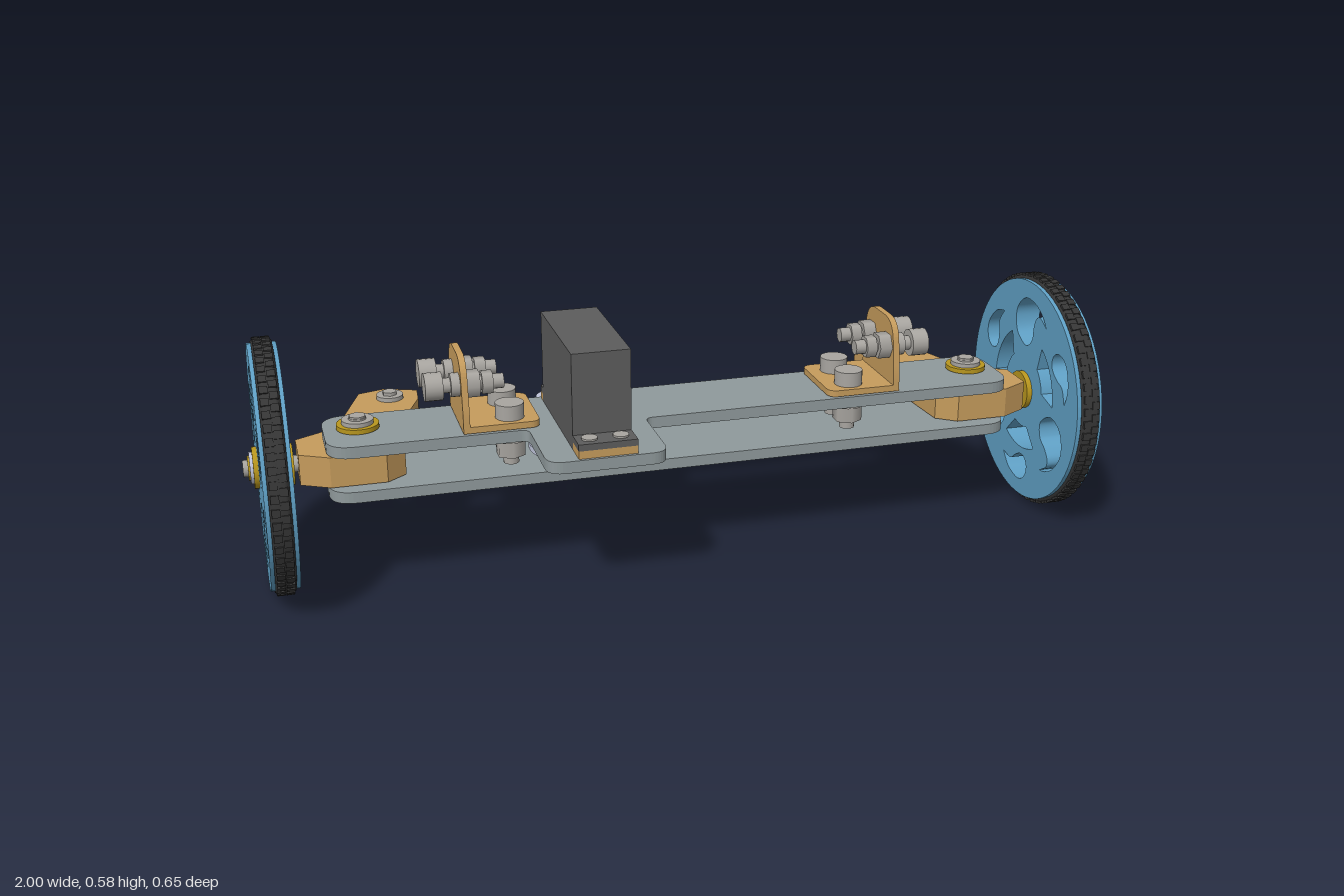
import * as THREE from 'three';
import { mergeGeometries } from 'three/addons/utils/BufferGeometryUtils.js';

const mat = (color) => new THREE.MeshStandardMaterial({ color, roughness: 0.7 });
const PLATE = mat(0x8f999b), STEEL = mat(0xa8a5a0), BLUE = mat(0x5f9fc4), GOLD = mat(0xb8961e);
const TAN = mat(0xc59b5c), DARK = mat(0x5c5c5c), RUBBER = mat(0x363636), PALE = mat(0xbfc4da);
const V = (x, y) => new THREE.Vector2(x, y);

function add(parent, name, geometry, material) {
  const m = new THREE.Mesh(geometry, material);
  m.name = name;
  parent.add(m);
  return m;
}

const extrude = (shape, depth) =>
  new THREE.ExtrudeGeometry(shape, { depth, bevelEnabled: false, curveSegments: 10 });

// Horizontal sheet from a plan drawn in (x, -z), between heights y0 and y1
const sheet = (shape, y0, y1) => extrude(shape, y1 - y0).rotateX(-Math.PI / 2).translate(0, y0, 0);

// Closed outline with rounded corners; each corner is [x, y, radius]
function rounded(corners) {
  const s = new THREE.Shape(), n = corners.length;
  corners.forEach(([x, y, r], i) => {
    const c = V(x, y);
    const p = corners[(i + n - 1) % n], q = corners[(i + 1) % n];
    const a = V(p[0], p[1]).sub(c).setLength(r).add(c);
    const b = V(q[0], q[1]).sub(c).setLength(r).add(c);
    if (i) s.lineTo(a.x, a.y); else s.moveTo(a.x, a.y);
    if (r) s.quadraticCurveTo(x, y, b.x, b.y);
  });
  s.closePath();
  return s;
}

// Turned parts stacked along y; each piece is [radius, from, to, sides, material]
function stack(parent, name, pieces) {
  const g = new THREE.Group();
  g.name = name;
  for (const [r, a, b, sides, material] of pieces)
    add(g, name + 'Piece', new THREE.CylinderGeometry(r, r, b - a, sides).translate(0, (a + b) / 2, 0), material);
  parent.add(g);
  return g;
}

// Wheel cut-outs, in (tangential, radial) coordinates
const LARGE = [[.093, .186], [.07, .21], [.03, .23], [-.02, .232], [-.055, .205], [-.064, .173],
  [-.05, .135], [-.005, .114], [.025, .135], [.03, .17], [.04, .195], [.06, .203], [.093, .186]];
const SMALL = [[.08, .195], [.05, .225], [.01, .238], [-.02, .235], [-.042, .215], [-.045, .19],
  [-.03, .172], [-.01, .17], [.015, .182], [.04, .2], [.08, .195]];

function makeWheel() {
  const wheel = new THREE.Group();
  wheel.name = 'wheel';
  const disc = new THREE.Shape().absarc(0, 0, 0.277, 0, Math.PI * 2);
  for (let k = 0; k < 6; k++) {
    const a = Math.PI / 6 + k * Math.PI / 3, c = Math.cos(a), s = Math.sin(a);
    const pts = (k % 2 ? LARGE : SMALL).map(([t, r]) => V(r * c - t * s, r * s + t * c));
    disc.holes.push(new THREE.Path().moveTo(pts[0].x, pts[0].y).splineThru(pts.slice(1)));
    if (k % 2 === 0) {
      const slot = new THREE.Path();
      slot.absarc(0, 0, 0.152, a - 0.5, a + 0.5, false);
      slot.absarc(0, 0, 0.096, a + 0.33, a - 0.33, true);
      slot.closePath();
      disc.holes.push(slot);
    }
  }
  add(wheel, 'wheelDisc', new THREE.ExtrudeGeometry(disc,
    { depth: 0.064, bevelEnabled: false, curveSegments: 36 }).translate(0, 0, -0.032), BLUE);

  // Tyre band with tread blocks
  const profile = [[.27, -.02], [.281, -.023], [.287, -.013], [.287, .013], [.281, .023], [.27, .02]];
  add(wheel, 'tyre', new THREE.LatheGeometry(profile.map(([r, y]) => V(r, y)), 72).rotateX(Math.PI / 2), RUBBER);
  const blocks = [];
  for (let i = 0; i < 60; i++)
    for (const side of [-1, 1])
      blocks.push(new THREE.BoxGeometry(0.006, 0.018, 0.018).translate(0.2865, 0, side * 0.01)
        .rotateZ((i + side * 0.25) * Math.PI / 30));
  add(wheel, 'tyreTread', mergeGeometries(blocks), RUBBER);

  // Bearing, washer and axle end
  stack(wheel, 'axle', [[.047, -.045, .043, 32, GOLD], [.036, .043, .05, 24, PALE],
    [.028, .05, .054, 24, GOLD], [.019, -.08, .065, 20, STEEL]]).rotation.x = Math.PI / 2;
  return wheel;
}

// Everything that repeats at both ends; s is +1 or -1
function makeSide(root, s) {
  const side = new THREE.Group();
  side.name = s > 0 ? 'leftSide' : 'rightSide';
  root.add(side);

  const wheel = makeWheel();
  wheel.position.set(s * 0.935, 0.295, 0.005);
  wheel.rotation.y = s * Math.PI / 2;
  side.add(wheel);

  // Steering knuckle with its rear arm
  const plan = [[.88, .045], [.815, .08], [.785, .09], [.71, .31], [.645, .33], [.57, .3], [.575, .24],
    [.635, .09], [.645, -.05], [.69, -.085], [.815, -.085], [.88, -.05]];
  add(side, 'steeringKnuckle', sheet(new THREE.Shape(plan.map(([x, y]) => V(s * x, y))), 0.26, 0.332), TAN);

  // Kingpin and tie rod pin
  stack(side, 'kingpin', [[.048, .365, .376, 28, GOLD], [.036, .376, .386, 24, STEEL], [.02, .386, .394, 6, STEEL],
    [.02, .2, .39, 16, STEEL], [.05, .215, .23, 28, GOLD], [.034, .205, .215, 24, STEEL]])
    .position.set(s * 0.742, 0, 0);
  stack(side, 'tieRodPin', [[.032, .332, .342, 24, STEEL], [.018, .342, .35, 6, STEEL], [.016, .2, .34, 16, STEEL],
    [.045, .22, .234, 28, GOLD], [.032, .207, .22, 24, STEEL]]).position.set(s * 0.64, 0, -0.262);

  // Angle bracket
  const base = rounded([[s * .345, -.11, .025], [s * .52, -.11, 0], [s * .52, .085, 0], [s * .345, .085, .025]]);
  add(side, 'bracketBase', sheet(base, 0.365, 0.38), TAN);
  const flange = rounded([[-.11, .365, 0], [.085, .365, 0], [.085, .41, .02], [.065, .535, .05],
    [-.09, .535, .05], [-.11, .41, .02]]);
  add(side, 'bracketFlange', extrude(flange, 0.015).rotateY(Math.PI / 2)
    .translate(s * 0.5125 - 0.0075, 0, 0), TAN);

  // Bracket bolts: one upright and one sideways in each row
  for (const z of [-0.033, 0.065]) {
    stack(side, 'baseBolt', [[.033, .38, .415, 20, STEEL], [.018, .27, .38, 14, STEEL], [.035, .29, .327, 6, STEEL],
      [.037, .327, .336, 20, STEEL]]).position.set(s * 0.408, 0, z);
    const bolt = stack(side, 'flangeBolt', [[.032, .558, .598, 20, STEEL], [.017, .42, .56, 14, STEEL],
      [.027, .52, .54, 20, STEEL], [.032, .475, .505, 6, STEEL], [.027, .445, .47, 6, STEEL]]);
    bolt.position.set(0, 0.468, z);
    bolt.rotation.z = -s * Math.PI / 2;
  }
}

export function createModel() {
  const root = new THREE.Group();
  root.name = 'steeringAxle';
  makeSide(root, 1);
  makeSide(root, -1);

  // Chassis plates
  const top = rounded([[-.82, .088, .06], [.812, .088, .06], [.812, -.115, .06], [-.105, -.115, .02],
    [-.105, -.325, .04], [-.375, -.325, .04], [-.375, -.115, .02], [-.82, -.115, .06]]);
  add(root, 'topPlate', sheet(top, 0.336, 0.363), PLATE);
  const bottom = rounded([[-.82, .088, .06], [.812, .088, .06], [.812, -.115, .06], [-.82, -.115, .06]]);
  add(root, 'bottomPlate', sheet(bottom, 0.23, 0.256), PLATE);

  // Tie rod with a lug for the drive bolt
  const rod = rounded([[-.685, .305, .04], [.685, .305, .04], [.685, .212, .04], [-.18, .212, .01],
    [-.2, .165, .03], [-.28, .165, .03], [-.3, .212, .01], [-.685, .212, .04]]);
  add(root, 'tieRod', sheet(rod, 0.234, 0.26), PLATE);

  // Servo body, mounting ears and screws
  const servo = new THREE.Group();
  servo.name = 'servo';
  servo.position.x = -0.24;
  root.add(servo);
  const box = (name, w, y0, y1, z0, z1, m) => add(servo, name,
    new THREE.BoxGeometry(w, y1 - y0, z1 - z0).translate(0, (y0 + y1) / 2, (z0 + z1) / 2), m);
  box('servoBody', 0.132, 0.312, 0.582, -0.057, 0.26, DARK);
  for (const [z0, z1, zs] of [[0.26, 0.318, 0.287], [-0.08, -0.057, -0.068]]) {
    box('servoPad', 0.132, 0.363, 0.381, z0, z1, TAN);
    box('servoEar', 0.132, 0.381, 0.396, z0, z1, DARK);
    for (const x of [-0.035, 0.035])
      stack(servo, 'servoScrew', [[z0 > 0 ? .018 : .011, .33, .4, 16, STEEL]]).position.set(x, 0, zs);
  }
  stack(servo, 'servoShaft', [[.027, .255, .32, 20, STEEL], [.05, .297, .305, 28, DARK]]).position.z = 0.035;

  // Servo horn: round hub tapering to a slotted tip
  const horn = new THREE.Shape();
  horn.absarc(0, -0.035, 0.12, Math.PI - 0.24, 2 * Math.PI + 0.24, false);
  horn.absarc(0, 0.265, 0.042, 0.24, Math.PI - 0.24, false);
  horn.closePath();
  const slot = new THREE.Path();
  slot.absarc(0, 0.265, 0.02, 0, Math.PI, false);
  slot.absarc(0, 0.17, 0.02, Math.PI, 2 * Math.PI, false);
  slot.closePath();
  horn.holes.push(slot);
  add(servo, 'servoHorn', sheet(horn, 0.283, 0.297), PALE);

  // Drive bolt through the horn slot and tie rod
  stack(servo, 'driveBolt', [[.033, .297, .303, 20, STEEL], [.029, .303, .335, 20, STEEL], [.017, .155, .3, 14, STEEL],
    [.032, .262, .281, 6, STEEL], [.036, .225, .234, 20, STEEL], [.033, .182, .225, 6, STEEL]]).position.z = -0.207;
  return root;
}
